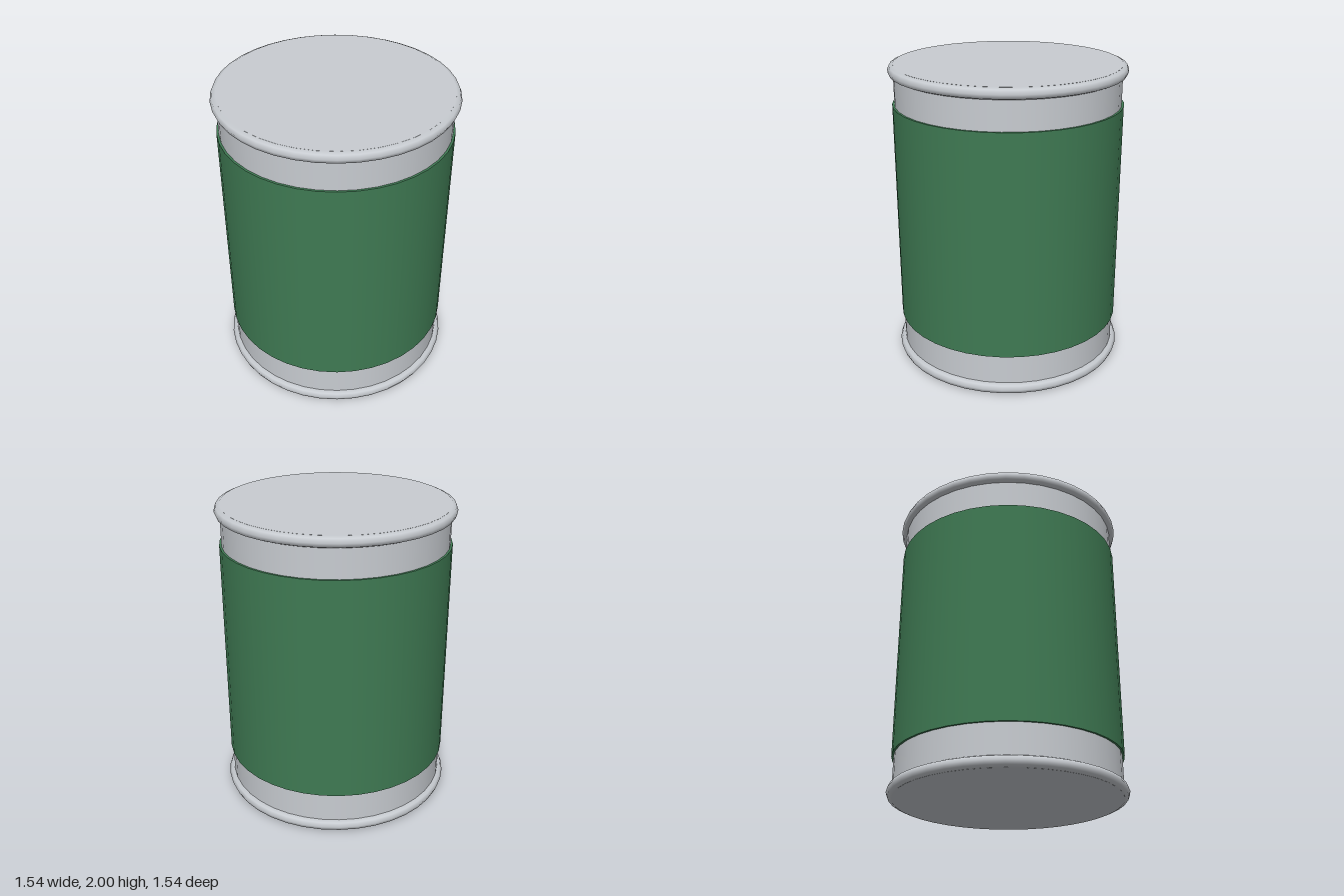
import * as THREE from 'three';

const SIDES = 40;

export function createModel() {
  const model = new THREE.Group();
  model.name = 'tinCan';

  const silver = new THREE.MeshStandardMaterial({ name: 'silver', color: 0xc8ccd1 });
  const green = new THREE.MeshStandardMaterial({ name: 'green', color: 0x3f7a53 });

  const add = (name, geometry, material, y) => {
    const mesh = new THREE.Mesh(geometry, material);
    mesh.name = name;
    mesh.position.y = y;
    model.add(mesh);
  };

  // Metal body with flat lids
  add('body', new THREE.CylinderGeometry(0.735, 0.735, 2, SIDES), silver, 1);

  // Wrapped label, slightly proud of the body
  add('label', new THREE.CylinderGeometry(0.749, 0.749, 1.47, SIDES), green, 1.005);

  // Rolled rims, flush with the lids
  const rim = new THREE.TorusGeometry(0.733, 0.037, 8, SIDES).rotateX(Math.PI / 2);
  add('bottomRim', rim, silver, 0.037);
  add('topRim', rim, silver, 1.963);

  return model;
}
